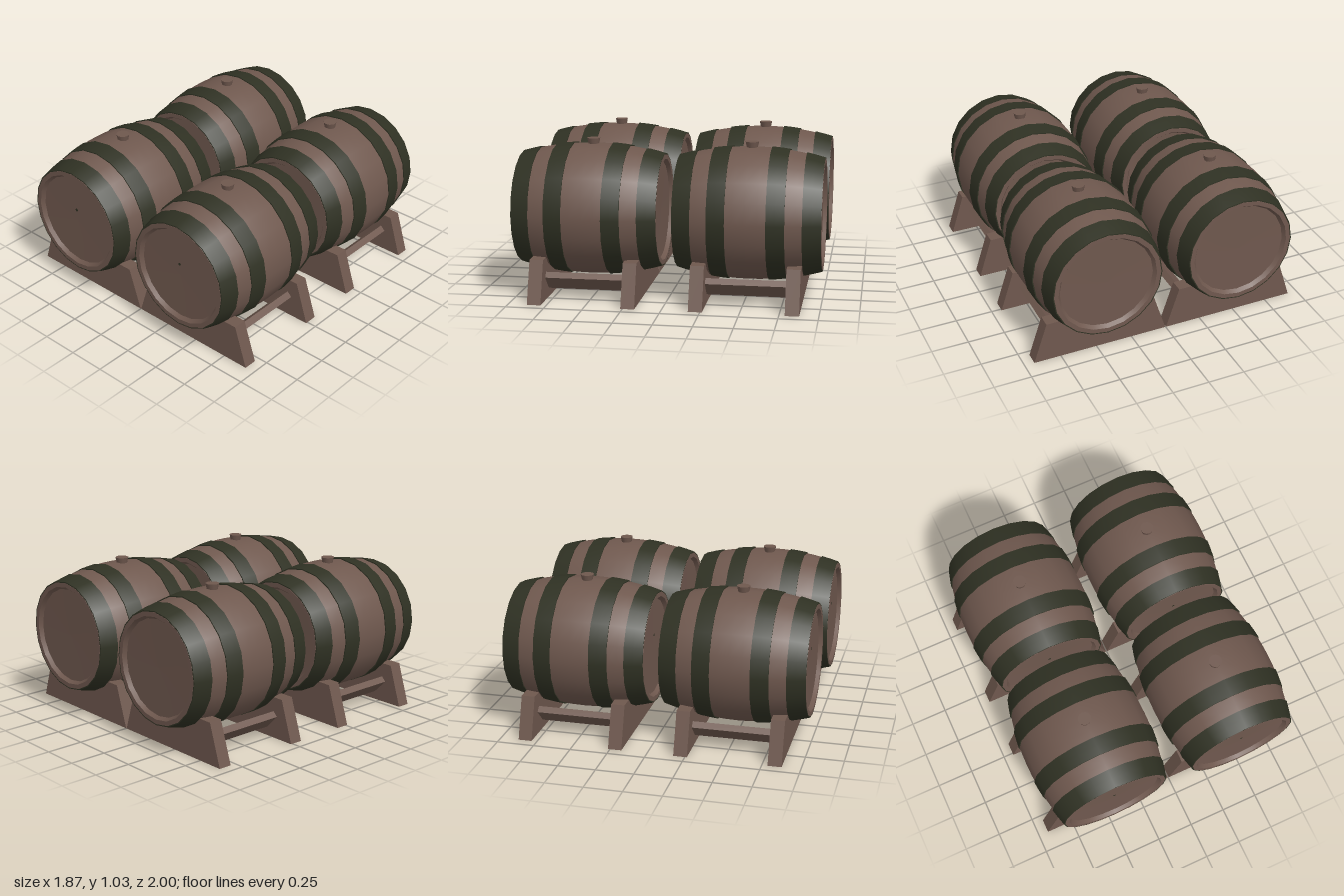
import * as THREE from 'three';

const SIDES = 20;
const HALF = 0.475; // half the barrel length
const v = (x, y) => new THREE.Vector2(x, y);
const bulge = (t) => 0.436 - 0.07 * (t / HALF) ** 2; // stave radius along the barrel

export function createModel() {
  const wood = new THREE.MeshStandardMaterial({ color: 0x6f584e });
  wood.name = 'wood';
  const iron = new THREE.MeshStandardMaterial({ color: 0x2f3123 });
  iron.name = 'dark hoop';

  const mesh = (name, geometry, material) => {
    const m = new THREE.Mesh(geometry, material);
    m.name = name;
    return m;
  };

  // Staves, rims and recessed heads in one profile; repeated points keep edges sharp
  const end = [[0, 0.447], [0.318, 0.45], [0.318, 0.45], [0.336, HALF], [0.336, HALF], [bulge(HALF), HALF]];
  const body = end.map(([r, t]) => v(r, -t));
  for (let i = 0; i <= 12; i++) {
    const t = -HALF + (i / 12) * 2 * HALF;
    body.push(v(bulge(t), t));
  }
  body.push(...end.slice().reverse().map(([r, t]) => v(r, t)));
  const bodyGeometry = new THREE.LatheGeometry(body, SIDES);

  // Raised hoop between two positions along the barrel
  const hoopGeometry = (a, b) => {
    const outer = [a, a, (a + b) / 2, b, b].map((t) => v(bulge(t) + 0.007, t));
    return new THREE.LatheGeometry([v(bulge(a) - 0.01, a), ...outer, v(bulge(b) - 0.01, b)], SIDES);
  };
  const hoops = [[-0.474, -0.355], [-0.247, -0.13], [0.13, 0.247], [0.355, 0.474]]
    .map(([a, b]) => hoopGeometry(a, b));

  // Trapezoid cradle board with a round seat for the barrel
  const seatRadius = 0.395, centreY = 0.56, standTop = 0.278;
  const edge = Math.asin((centreY - standTop) / seatRadius);
  const board = new THREE.Shape();
  board.moveTo(-0.465, 0);
  board.lineTo(0.465, 0);
  board.lineTo(0.375, standTop);
  board.absarc(0, centreY, seatRadius, -edge, -Math.PI + edge, true);
  board.lineTo(-0.375, standTop);
  board.closePath();
  const boardGeometry = new THREE.ExtrudeGeometry(board, { depth: 0.09, bevelEnabled: false, curveSegments: 12 });
  boardGeometry.translate(0, 0, -0.045);

  const railGeometry = new THREE.BoxGeometry(0.13, 0.045, 0.56);
  const bungGeometry = new THREE.CylinderGeometry(0.044, 0.034, 0.05, 12);
  const tapGeometry = new THREE.CircleGeometry(0.011, 8);

  const makeUnit = () => {
    const unit = new THREE.Group();
    unit.name = 'barrelOnStand';

    const barrel = new THREE.Group();
    barrel.name = 'barrel';
    barrel.position.y = centreY;
    barrel.rotation.x = Math.PI / 2;
    barrel.add(mesh('barrelBody', bodyGeometry, wood));
    hoops.forEach((g) => barrel.add(mesh('hoop', g, iron)));
    unit.add(barrel);

    const bung = mesh('bung', bungGeometry, wood);
    bung.position.y = 1.003;
    unit.add(bung);

    // Small tap hole on the front head
    const tap = mesh('tapHole', tapGeometry, iron);
    tap.position.set(0, 0.64, 0.452);
    unit.add(tap);

    for (const side of [-1, 1]) {
      const stand = mesh('standBoard', boardGeometry, wood);
      stand.position.z = side * 0.307;
      unit.add(stand);
      // Tilted rail joining the two boards
      const rail = mesh('standRail', railGeometry, wood);
      rail.position.set(side * 0.27, 0.12, 0);
      rail.rotation.z = side * Math.PI / 4;
      unit.add(rail);
    }
    return unit;
  };

  // Two rows of two barrels
  const model = new THREE.Group();
  model.name = 'barrelRack';
  for (const x of [-0.468, 0.468]) {
    for (const z of [-0.525, 0.525]) {
      const unit = makeUnit();
      unit.position.set(x, 0, z);
      model.add(unit);
    }
  }
  return model;
}
